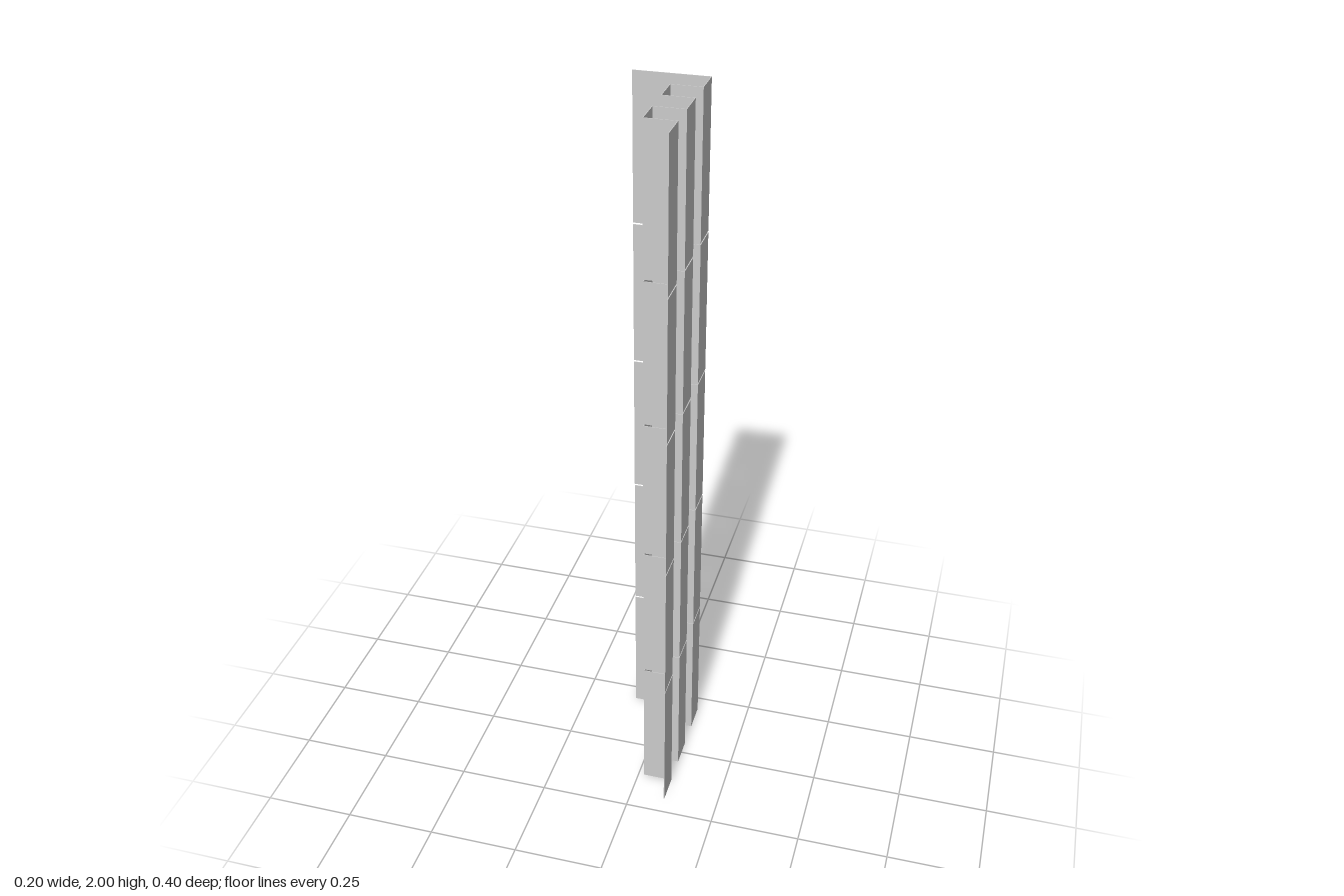
import * as THREE from 'three';

const ROWS = 5, PITCH = 0.4, GAP = 0.005, THICK = 0.002;

// Closed outline of a thin sheet that follows an open path of [x, z] points, with mitred corners
function sheetShape(path, thick) {
  const pts = path.map(([x, z]) => new THREE.Vector2(x, -z));
  const normals = pts.slice(1).map((p, i) => {
    const d = p.clone().sub(pts[i]).normalize();
    return new THREE.Vector2(-d.y, d.x);
  });
  const side = (s) => pts.map((p, i) => {
    const a = normals[Math.max(i - 1, 0)], b = normals[Math.min(i, normals.length - 1)];
    const m = a.clone().add(b);
    return p.clone().addScaledVector(m, s * thick / (1 + a.dot(b)));
  });
  return new THREE.Shape([...side(-0.5), ...side(0.5).reverse()]);
}

export function createModel() {
  const group = new THREE.Group();
  group.name = 'corrugatedWall';
  const material = new THREE.MeshStandardMaterial({ color: 0xcccccc, flatShading: true, side: THREE.DoubleSide });

  // Flat return at the back, then square ribs running forward
  const outer = 0.098, inner = 0.017, start = -0.199, step = 0.0796;
  const backPath = [[-0.099, start], [outer, start]];
  const ribPath = [];
  for (let i = 0; i < 5; i++) {
    const x = i % 2 ? inner : outer;
    ribPath.push([x, start + i * step], [x, start + (i + 1) * step]);
  }
  const shape = sheetShape([...backPath, ...ribPath.slice(1)], THICK);

  // Stacked sheets with a narrow open seam between rows
  for (let row = 0; row < ROWS; row++) {
    const y0 = row * PITCH + (row > 0 ? GAP / 2 : 0);
    const y1 = (row + 1) * PITCH - (row < ROWS - 1 ? GAP / 2 : 0);
    const geometry = new THREE.ExtrudeGeometry(shape, { depth: y1 - y0, bevelEnabled: false });
    geometry.rotateX(-Math.PI / 2);
    const sheet = new THREE.Mesh(geometry, material);
    sheet.position.y = y0;
    sheet.name = `wallSheet${row + 1}`;
    group.add(sheet);
  }
  return group;
}
